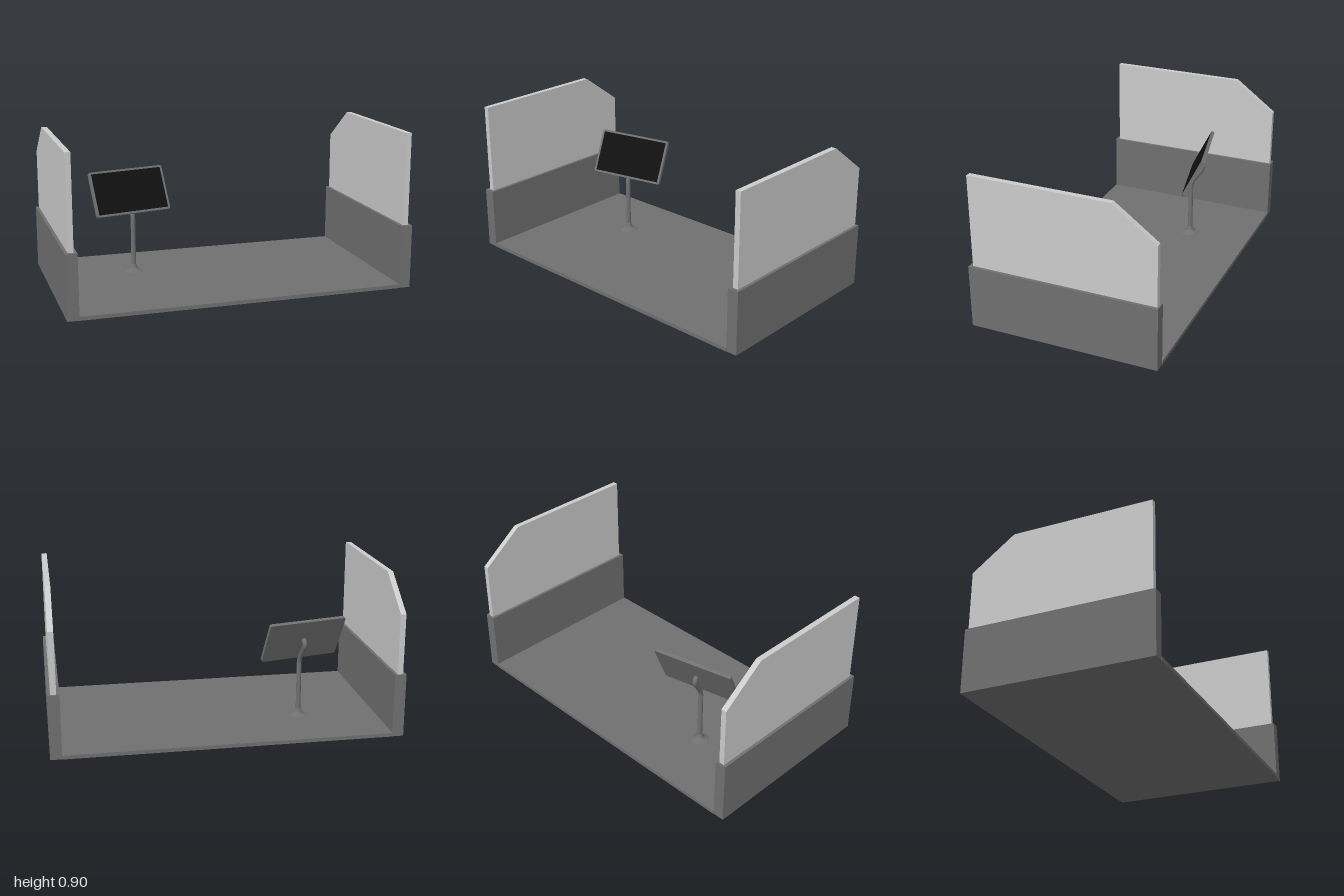
import * as THREE from 'three';

const dark = new THREE.MeshStandardMaterial({ color: 0x707070 });
const light = new THREE.MeshStandardMaterial({ color: 0xcccccc });
const black = new THREE.MeshStandardMaterial({ color: 0x101010 });

function add(parent, name, geometry, material, x = 0, y = 0, z = 0) {
  const mesh = new THREE.Mesh(geometry, material);
  mesh.name = name;
  mesh.position.set(x, y, z);
  parent.add(mesh);
  return mesh;
}

// Rectangle with rounded corners, centred on the origin
function roundedRect(w, h, r) {
  const s = new THREE.Shape();
  const x = w / 2 - r, y = h / 2 - r;
  s.absarc(x, y, r, 0, Math.PI / 2);
  s.absarc(-x, y, r, Math.PI / 2, Math.PI);
  s.absarc(-x, -y, r, Math.PI, Math.PI * 1.5);
  s.absarc(x, -y, r, Math.PI * 1.5, Math.PI * 2);
  s.closePath();
  return s;
}

export function createModel() {
  const model = new THREE.Group();
  model.name = 'boothWithDisplay';

  // Floor slab between the side walls
  add(model, 'floor', new THREE.BoxGeometry(1.872, 0.022, 1.106), dark, 0, 0.011, 0);

  // Panel outline in the z-y plane, cut off at the upper back corner
  const outline = new THREE.Shape([
    [-0.53, 0.365], [0.54, 0.365], [0.54, 0.72], [0.29, 0.905], [-0.53, 0.905],
  ].map(([back, y]) => new THREE.Vector2(back, y)));
  const panelGeometry = new THREE.ExtrudeGeometry(outline, { depth: 0.032, bevelEnabled: false });
  panelGeometry.translate(0, 0, -0.016).rotateY(Math.PI / 2);

  // Low side walls, each carrying an upright panel
  for (const [side, label] of [[1, 'left'], [-1, 'right']]) {
    add(model, label + 'Wall', new THREE.BoxGeometry(0.066, 0.37, 1.1), dark, side * 0.967, 0.185, 0);
    add(model, label + 'Panel', panelGeometry, light, side * 0.967, 0, 0);
  }

  // Display stand, turned slightly towards the model's left
  const stand = new THREE.Group();
  stand.name = 'displayStand';
  stand.position.set(-0.475, 0.021, -0.173);
  stand.rotation.y = 0.215;
  model.add(stand);

  // Flared foot
  const flare = new THREE.SplineCurve([
    [0.056, 0], [0.052, 0.004], [0.036, 0.01], [0.023, 0.022], [0.015, 0.045],
  ].map(([r, y]) => new THREE.Vector2(r, y))).getPoints(12);
  add(stand, 'foot', new THREE.LatheGeometry(flare, 32), dark);

  // Straight pole that leans back, then hooks forward into the display
  const v = (y, z) => new THREE.Vector3(0, y, z);
  const path = new THREE.CurvePath();
  path.add(new THREE.LineCurve3(v(0.01, 0), v(0.32, 0)));
  path.add(new THREE.QuadraticBezierCurve3(v(0.32, 0), v(0.35, 0), v(0.375, -0.018)));
  path.add(new THREE.LineCurve3(v(0.375, -0.018), v(0.435, -0.061)));
  path.add(new THREE.QuadraticBezierCurve3(v(0.435, -0.061), v(0.468, -0.085), v(0.484, -0.043)));
  add(stand, 'pole', new THREE.TubeGeometry(path, 90, 0.014, 16), dark);

  // Tilted display: rounded casing with a black screen on its face
  const display = new THREE.Group();
  display.name = 'display';
  display.position.set(0, 0.484, -0.042);
  display.rotation.x = -0.455;
  stand.add(display);
  const casing = new THREE.ExtrudeGeometry(roundedRect(0.478, 0.275, 0.012),
    { depth: 0.02, bevelEnabled: false, curveSegments: 6 });
  add(display, 'casing', casing, dark, 0, 0, -0.01);
  add(display, 'screen', new THREE.BoxGeometry(0.45, 0.25, 0.002), black, 0, 0, 0.0105);

  return model;
}
